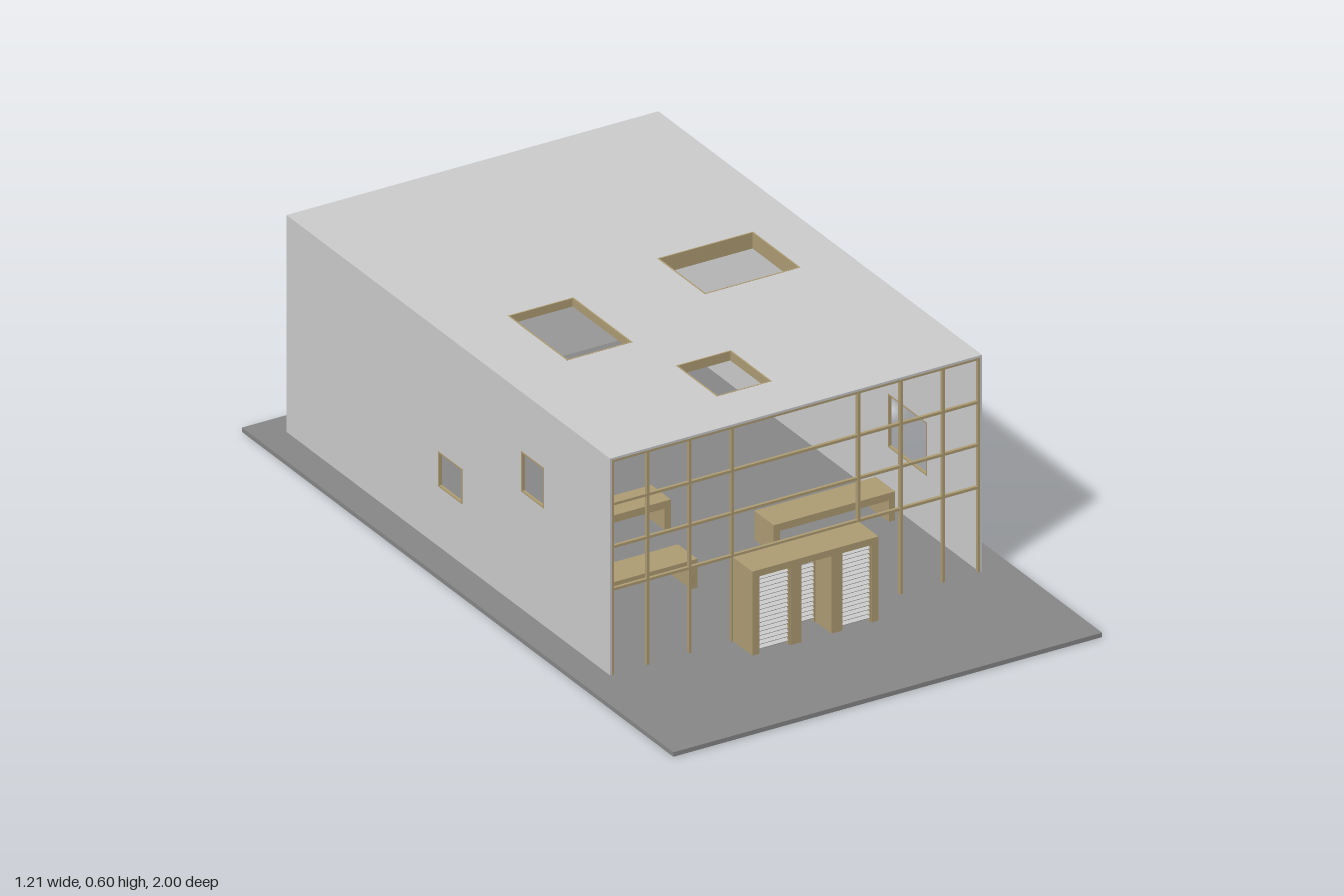
import * as THREE from 'three';

const grey = new THREE.MeshStandardMaterial({ color: 0xcccccc });
const ground = new THREE.MeshStandardMaterial({ color: 0x878787 });
const wood = new THREE.MeshStandardMaterial({ color: 0xae9c74 });

const FLOOR = 0.012, TOP = 0.6, HALF = 0.525, BACK = -0.925, FRONT = 0.575, T = 0.006;

// Box given by its min and max on each axis
function box(parent, name, mat, x0, x1, y0, y1, z0, z1) {
  const mesh = new THREE.Mesh(new THREE.BoxGeometry(x1 - x0, y1 - y0, z1 - z0), mat);
  mesh.position.set((x0 + x1) / 2, (y0 + y1) / 2, (z0 + z1) / 2);
  mesh.name = name;
  parent.add(mesh);
  return mesh;
}

function group(parent, name) {
  const g = new THREE.Group();
  g.name = name;
  parent.add(g);
  return g;
}

function rectPath(path, a0, a1, b0, b1) {
  path.moveTo(a0, b0);
  path.lineTo(a1, b0);
  path.lineTo(a1, b1);
  path.lineTo(a0, b1);
  path.closePath();
  return path;
}

// Thin slab with rectangular openings, each [a0, a1, b0, b1]
function slab(outline, openings, depth) {
  const shape = rectPath(new THREE.Shape(), ...outline);
  for (const o of openings) shape.holes.push(rectPath(new THREE.Path(), ...o));
  return new THREE.ExtrudeGeometry(shape, { depth, bevelEnabled: false });
}

// Timber lining around an opening
function lining(opening, depth) {
  const [a0, a1, b0, b1] = opening, t = 0.004;
  return slab(opening, [[a0 + t, a1 - t, b0 + t, b1 - t]], depth);
}

function addMesh(parent, name, geometry, mat) {
  const mesh = new THREE.Mesh(geometry, mat);
  mesh.name = name;
  parent.add(mesh);
  return mesh;
}

// Side wall with windows, each [z0, z1, y0, y1]; x is the outer or inner face on the +x side
function sideWall(parent, name, x, windows) {
  const g = group(parent, name);
  addMesh(g, 'wallPanel', slab([BACK, FRONT, FLOOR, TOP - T], windows, T), grey);
  for (const w of windows) addMesh(g, 'windowLining', lining(w, T + 0.002), wood).position.z = -0.001;
  g.rotation.y = -Math.PI / 2;
  g.position.x = x;
}

function bench(parent, x, z) {
  const g = group(parent, 'bench'), L = 0.343, W = 0.09, t = 0.018;
  box(g, 'benchTop', wood, 0, L, 0.07, 0.09, 0, W);
  box(g, 'benchLegLeft', wood, L - t, L, FLOOR, 0.07, 0, W);
  box(g, 'benchLegRight', wood, 0, t, FLOOR, 0.07, 0, W);
  g.position.set(x, 0, z);
}

// Panel of tilted horizontal slats
function louver(parent, x0, x1, z) {
  const g = group(parent, 'louver'), n = 17, y0 = 0.02, y1 = 0.22;
  for (let i = 0; i < n; i++) {
    const y = y0 + (i + 0.5) * (y1 - y0) / n;
    box(g, 'slat', grey, x0, x1, y - 0.0015, y + 0.0015, z - 0.006, z + 0.006).rotation.x = 0.6;
  }
  for (const x of [x0, x1 - 0.004]) box(g, 'slatRail', wood, x, x + 0.004, FLOOR, 0.222, z - 0.006, z + 0.006);
}

export function createModel() {
  const model = new THREE.Group();
  model.name = 'pavilion';

  box(model, 'groundSlab', ground, -0.605, 0.605, 0, FLOOR, -1, 1);

  // Shell: back wall, side walls and roof
  box(model, 'backWall', grey, -HALF + T, HALF - T, FLOOR, TOP - T, BACK, BACK + T);
  sideWall(model, 'leftWall', HALF, [[0.15, 0.33, 0.165, 0.31], [-0.295, -0.11, 0.27, 0.415]]);
  sideWall(model, 'rightWall', -HALF + T, [[-0.22, -0.11, 0.175, 0.27], [0.165, 0.27, 0.33, 0.44]]);

  // Roof lies in the plane (x, -z); each skylight has its own lining depth
  const skylights = [
    { hole: [-0.345, -0.16, -0.08, 0.195], depth: 0.022 },
    { hole: [0.12, 0.39, 0.045, 0.265], depth: 0.043 },
    { hole: [-0.135, 0.02, -0.43, -0.24], depth: 0.025 },
  ];
  const roof = group(model, 'roof');
  roof.rotation.x = -Math.PI / 2;
  roof.position.y = TOP;
  const holes = skylights.map((s) => s.hole);
  addMesh(roof, 'roofPanel', slab([-HALF, HALF, -FRONT, -BACK], holes, T), grey).position.z = -T;
  for (const s of skylights) {
    addMesh(roof, 'skylightLining', lining(s.hole, s.depth), wood).position.z = -s.depth + 0.0005;
  }

  // Front grid of slim posts and rails
  const facade = group(model, 'frontGrid'), z0 = FRONT - 0.01, h = 0.0035;
  for (const x of [0.178, 0.298, 0.417, 0.517]) {
    for (const s of [-1, 1]) box(facade, 'post', wood, s * x - h, s * x + h, FLOOR, TOP - T, z0, FRONT);
  }
  for (const y of [0.242, 0.357, 0.473, 0.591]) {
    box(facade, 'rail', wood, -HALF + T, HALF - T, y - h, y + h, z0 + 0.001, FRONT - 0.001);
  }

  // Entrance portal with slatted panels
  const portal = group(model, 'entrance'), zf = 0.665;
  box(portal, 'portalTop', wood, -0.178, 0.178, 0.222, 0.24, FRONT, zf);
  for (const s of [-1, 1]) {
    const x = s * 0.169;
    box(portal, 'portalSide', wood, x - 0.009, x + 0.009, FLOOR, 0.222, FRONT, zf);
  }
  box(portal, 'doorPostRight', wood, -0.07, -0.04, FLOOR, 0.222, FRONT, zf);
  box(portal, 'doorPostLeft', wood, 0.045, 0.075, FLOOR, 0.222, FRONT, zf);
  louver(portal, -0.16, -0.07, zf - 0.01);
  louver(portal, 0.075, 0.16, zf - 0.01);
  louver(portal, -0.02, 0.045, FRONT + 0.01);

  // Benches
  bench(model, -0.34, -0.1);
  bench(model, -0.448, 0.2);
  bench(model, 0.144, 0.145);

  return model;
}
